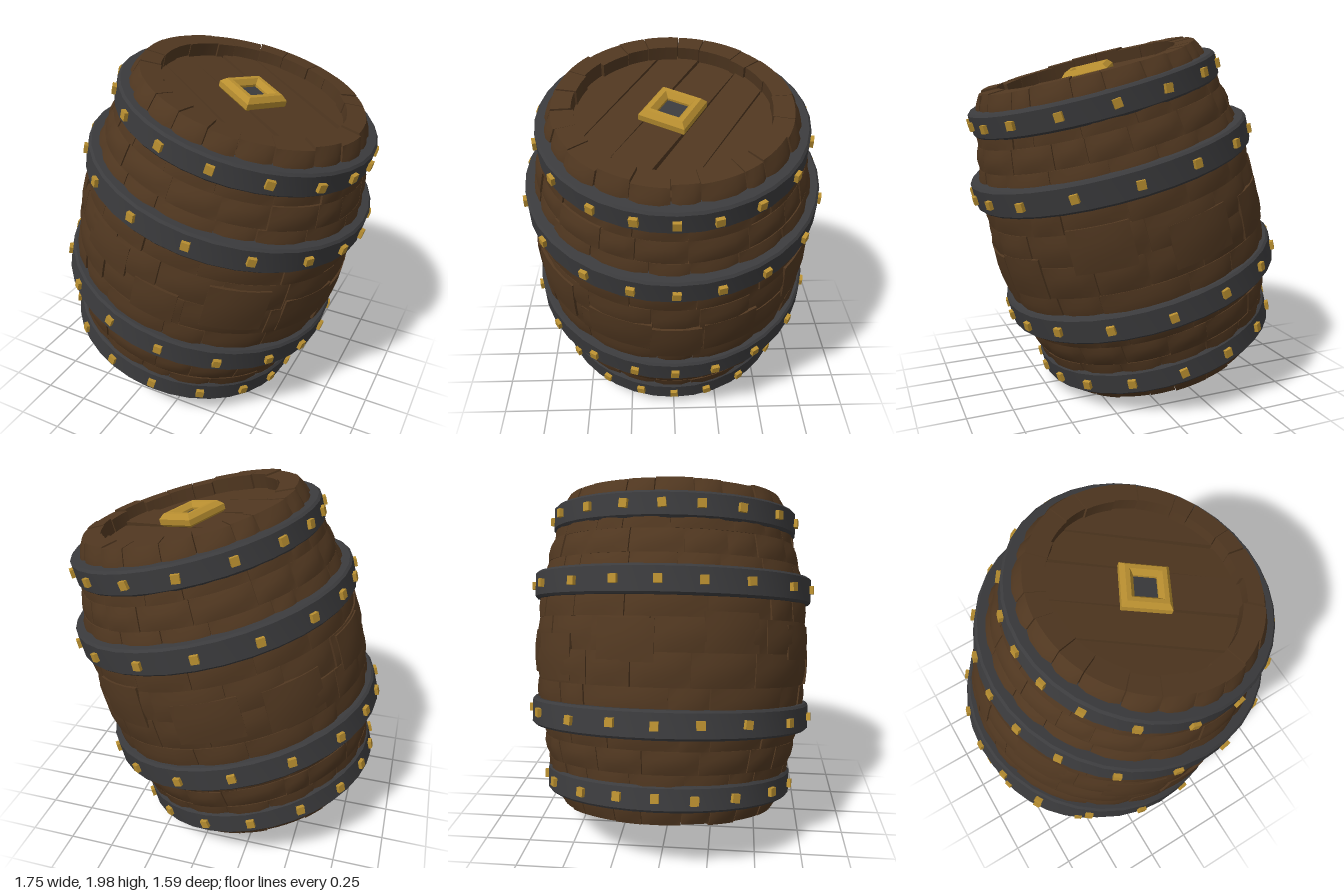
import * as THREE from 'three';
import { mergeGeometries, toCreasedNormals } from 'three/addons/utils/BufferGeometryUtils.js';

const paint = (name, color) => {
  const m = new THREE.MeshStandardMaterial({ color });
  m.name = name;
  return m;
};

// small seeded generator for the hand-made irregularity
let seed = 7;
const rnd = (a, b) => {
  seed = (seed * 16807) % 2147483647;
  return a + (b - a) * (seed / 2147483647);
};

const TAU = Math.PI * 2;
const END = 0.87;
// bulging side of the barrel: radius at a height along its axis
const radiusAt = (v) => 0.768 - 0.163 * (v / END) ** 2;

// curved block between two angles (measured from +z towards +x) and two heights
function block(a0, a1, v0, v1, lift, inner, bevel = 0.01) {
  const g = new THREE.BoxGeometry(1, 1, 1, 4, 3, 1);
  const p = g.attributes.position;
  for (let i = 0; i < p.count; i++) {
    const x = p.getX(i), y = p.getY(i), outer = p.getZ(i) > 0;
    const a = a0 + (x + 0.5) * (a1 - a0);
    const v = v0 + (y + 0.5) * (v1 - v0);
    let r = outer ? radiusAt(v) + lift : inner ?? radiusAt(v) - 0.04;
    if (outer && (Math.abs(x) > 0.49 || Math.abs(y) > 0.49)) r -= bevel;
    p.setXYZ(i, r * Math.sin(a), v, r * Math.cos(a));
  }
  return toCreasedNormals(g, 0.5);
}

// full turn cut into unequal pieces
function cuts(n, jitter) {
  const start = rnd(0, 1);
  const list = [];
  for (let i = 0; i < n; i++) list.push(((i + start + rnd(-jitter, jitter)) / n) * TAU);
  list.push(list[0] + TAU);
  return list;
}

function row(v0, v1, n) {
  const c = cuts(n, 0.25);
  const parts = [];
  for (let i = 0; i < n; i++) parts.push(block(c[i] + 0.003, c[i + 1] - 0.003, v0, v1, rnd(-0.004, 0.008)));
  return mergeGeometries(parts);
}

// closed ring with softened outer edges
function hoop(v, r, h) {
  const i = r - 0.08, b = 0.012;
  const pts = [[i, -h], [r - b, -h], [r, -h + b], [r, h - b], [r - b, h], [i, h]]
    .map(([x, y]) => new THREE.Vector2(x, y + v));
  return toCreasedNormals(new THREE.LatheGeometry(pts, 36), 0.5);
}

// one board of a round lid, between two parallel chords
function lidBoard(x0, x1, R) {
  const s = new THREE.Shape();
  const n = 8;
  for (let i = 0; i <= n; i++) {
    const x = x0 + ((x1 - x0) * i) / n;
    const y = -Math.sqrt(Math.max(0, R * R - x * x));
    i ? s.lineTo(x, y) : s.moveTo(x, y);
  }
  for (let i = n; i >= 0; i--) {
    const x = x0 + ((x1 - x0) * i) / n;
    s.lineTo(x, Math.sqrt(Math.max(0, R * R - x * x)));
  }
  const g = new THREE.ExtrudeGeometry(s, { depth: 0.04, bevelEnabled: false });
  return g.rotateX(-Math.PI / 2);
}

export function createModel() {
  const wood = paint('dark wood', 0x503720);
  const iron = paint('iron', 0x3b3b3d);
  const gold = paint('gold', 0xb98f30);

  const model = new THREE.Group();
  const barrel = new THREE.Group();
  barrel.name = 'barrel';
  barrel.rotation.z = THREE.MathUtils.degToRad(-15);
  barrel.position.set(0.003, 1.005, 0);
  model.add(barrel);

  const add = (parent, name, geometry, material) => {
    const m = new THREE.Mesh(geometry, material);
    m.name = name;
    parent.add(m);
    return m;
  };

  // solid core that closes the joints between the planks
  const core = [];
  for (let i = 0; i <= 12; i++) {
    const v = -0.76 + (1.52 * i) / 12;
    core.push(new THREE.Vector2(radiusAt(v) - 0.02, v));
  }
  add(barrel, 'core', new THREE.LatheGeometry(core, 36), wood);

  // rows of side planks
  const edges = [-0.76, -0.6, -0.48, -0.34, -0.17, 0, 0.17, 0.34, 0.48, 0.6, 0.76];
  for (let i = 0; i < edges.length - 1; i++) {
    add(barrel, 'plankRow', row(edges[i], edges[i + 1], i > 2 && i < 7 ? 15 : 18), wood);
  }

  // raised planks scattered round the belly: angle in degrees, width, height span
  const patches = [
    [-62, 22, 0.0, 0.2], [-22, 24, -0.03, 0.15], [4, 18, -0.17, 0.02], [35, 24, -0.12, 0.14],
    [68, 26, -0.15, 0.06], [90, 20, -0.22, 0.03], [112, 22, -0.17, 0.05], [150, 24, -0.04, 0.19],
    [188, 26, -0.13, 0.1], [222, 24, -0.16, 0.08], [258, 22, -0.05, 0.16],
  ];
  for (const [deg, wide, v0, v1] of patches) {
    const a = THREE.MathUtils.degToRad(deg), w = THREE.MathUtils.degToRad(wide) / 2;
    add(barrel, 'raisedPlank', block(a - w, a + w, v0, v1, 0.011, undefined, 0.006), wood);
  }

  // both ends: rim blocks, backing and lid boards
  for (const top of [true, false]) {
    const end = new THREE.Group();
    end.name = top ? 'topEnd' : 'bottomEnd';
    if (!top) end.rotation.x = Math.PI;
    barrel.add(end);

    const c = cuts(22, 0.2);
    const rim = [];
    for (let i = 0; i < 22; i++) {
      rim.push(block(c[i] + 0.004, c[i + 1] - 0.004, 0.72, END - rnd(0, 0.014), rnd(-0.004, 0.006), rnd(0.485, 0.505), 0.012));
    }
    add(end, 'rim', mergeGeometries(rim), wood);

    const backing = add(end, 'lidBacking', new THREE.CylinderGeometry(0.56, 0.56, 0.03, 36), wood);
    backing.position.y = 0.745;

    const lid = new THREE.Group();
    lid.name = 'lid';
    lid.rotation.y = top ? 1.05 : 0.4;
    end.add(lid);
    const joints = [-0.51, -0.3, -0.1, 0.12, 0.31, 0.51];
    for (let i = 0; i < joints.length - 1; i++) {
      const b = add(lid, 'lidBoard', lidBoard(joints[i] + 0.005, joints[i + 1] - 0.005, 0.515), wood);
      b.position.y = 0.755 + rnd(-0.006, 0.008);
      b.rotation.x = rnd(-0.02, 0.02);
    }
  }

  // iron hoops with their rivets
  const rivetAngles = [-79, -56, -34, -16, 0, 16, 34, 56, 79];
  for (const [v, r, h] of [[0.717, 0.69, 0.066], [0.346, 0.786, 0.073], [-0.346, 0.786, 0.073], [-0.717, 0.69, 0.066]]) {
    const group = new THREE.Group();
    group.name = 'hoop';
    barrel.add(group);
    add(group, 'ironBand', hoop(v, r, h), iron);
    for (const side of [90, 270]) {
      for (const deg of rivetAngles) {
        const a = THREE.MathUtils.degToRad(side + deg);
        const rivet = add(group, 'rivet', new THREE.BoxGeometry(0.042, 0.044, 0.036), gold);
        rivet.position.set(r * Math.sin(a), v + rnd(-0.006, 0.006), r * Math.cos(a));
        rivet.rotation.set(0, a, rnd(-0.12, 0.12), 'YXZ');
      }
    }
  }

  // square bung on the top lid: gold frame round an iron plug
  const bung = new THREE.Group();
  bung.name = 'bung';
  bung.position.y = 0.79;
  bung.rotation.y = THREE.MathUtils.degToRad(-29);
  barrel.add(bung);
  const square = (path, s) => {
    path.moveTo(-s, -s);
    path.lineTo(s, -s);
    path.lineTo(s, s);
    path.lineTo(-s, s);
    path.closePath();
    return path;
  };
  const frame = square(new THREE.Shape(), 0.105);
  frame.holes.push(square(new THREE.Path(), 0.082));
  const frameGeo = new THREE.ExtrudeGeometry(frame, {
    depth: 0.03, bevelEnabled: true, bevelThickness: 0.025, bevelSize: 0.022, bevelSegments: 1,
  });
  add(bung, 'bungFrame', frameGeo.rotateX(-Math.PI / 2), gold).position.y = 0.012;
  add(bung, 'bungPlug', new THREE.BoxGeometry(0.14, 0.03, 0.14), iron).position.y = 0.015;

  return model;
}
